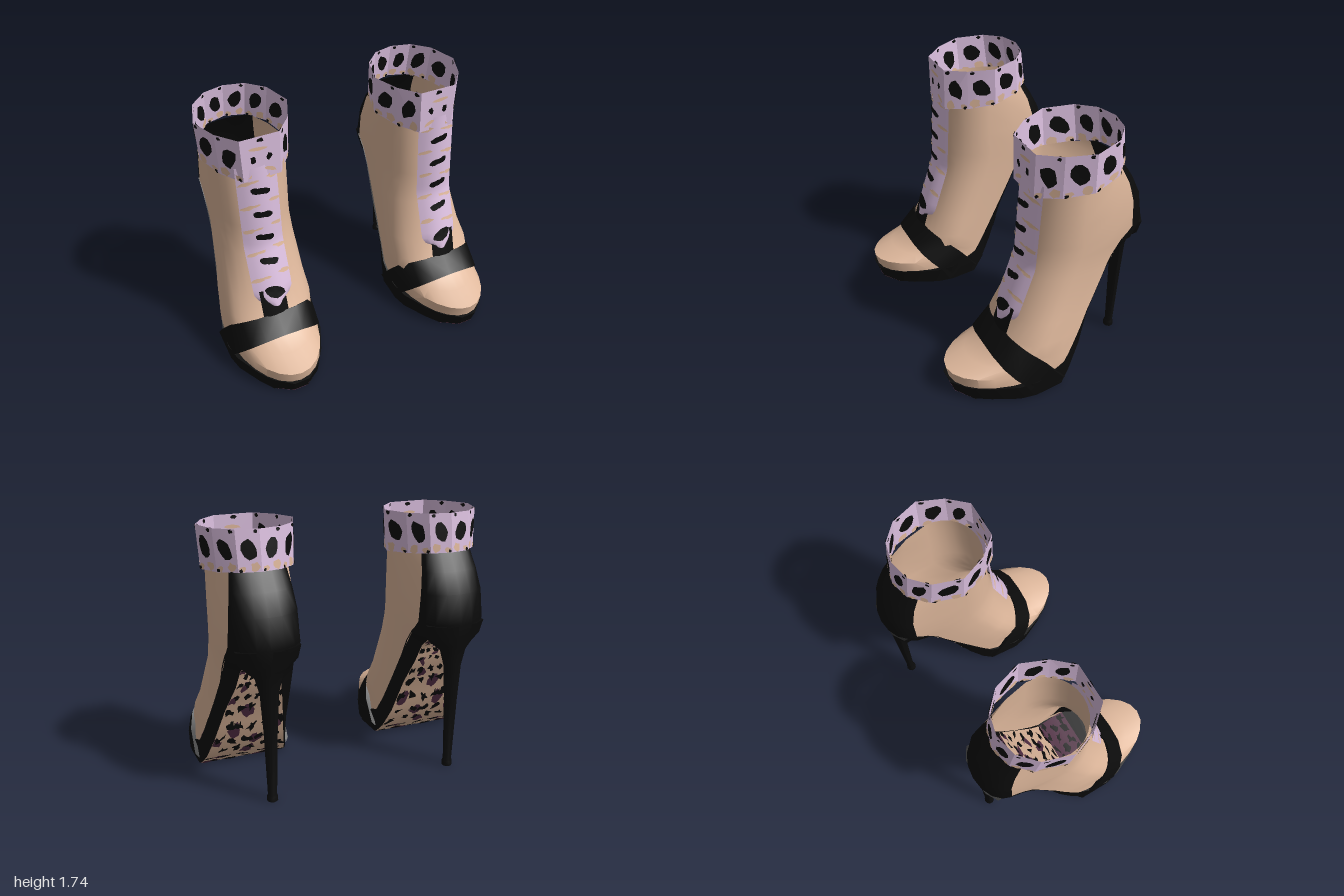
import * as THREE from 'three';
import { toCreasedNormals } from 'three/addons/utils/BufferGeometryUtils.js';

const mat = (name, color) => new THREE.MeshStandardMaterial({ name, color, side: THREE.DoubleSide });

export function createModel() {
  const tan = mat('tan', 0xdfb89c), black = mat('black', 0x0b0b0b);
  const lilac = mat('lilac', 0xdcc0e0), plum = mat('plum', 0x4f2c42);
  const model = new THREE.Group();

  let seed = 7;
  const rnd = () => (seed = (seed * 16807) % 2147483647) / 2147483647;

  function shoe(s) {
    seed = 7;
    const group = new THREE.Group();
    group.name = s > 0 ? 'leftShoe' : 'rightShoe';

    function add(name, material, pos, idx, crease) {
      let g = new THREE.BufferGeometry();
      g.setAttribute('position', new THREE.Float32BufferAttribute(pos.flatMap(([x, y, z]) => [s * x, y, z]), 3));
      g.setIndex(idx);
      g = toCreasedNormals(g, crease);
      const m = new THREE.Mesh(g, material);
      m.name = name;
      group.add(m);
    }
    // Skin a list of point rows; closed joins each row's ends, cap fills the end rows
    function loft(name, material, rows, { closed = false, cap = false, crease = 0.7 } = {}) {
      const mid = r => r.map(() => [0, 1, 2].map(k => r.reduce((a, p) => a + p[k], 0) / r.length));
      if (cap) rows = [mid(rows[0]), ...rows, mid(rows[rows.length - 1])];
      const n = rows[0].length, idx = [];
      for (let i = 0; i < rows.length - 1; i++)
        for (let j = 0; j < (closed ? n : n - 1); j++) {
          const a = i * n + j, b = i * n + (j + 1) % n;
          idx.push(a, b, a + n, b, b + n, a + n);
        }
      add(name, material, rows.flat(), idx, crease);
    }
    // Flat irregular spots laid on a surface function surf(u, v)
    function spots(name, material, surf, list) {
      const pos = [], idx = [], n = 10;
      for (const [u, v, ru, rv, shear = 0, wob = 0.25] of list) {
        const c = pos.length;
        pos.push(surf(u, v));
        for (let i = 0; i < n; i++) {
          const a = i / n * Math.PI * 2, r = 1 - wob / 2 + wob * (rnd() - 0.5) * 2;
          const dv = Math.sin(a) * r;
          pos.push(surf(u + ru * (Math.cos(a) * r + shear * dv), v + rv * dv));
          idx.push(c, c + 1 + i, c + 1 + (i + 1) % n);
        }
      }
      add(name, material, pos, idx, 0.5);
    }
    // Ribbon surface through rows of [cx, halfWidth, z, y], bowed back at its edges
    const ribbon = (rows, dy, dz, bow = 0) => (u, v) => {
      const t = Math.min(Math.max(v, 0), 1) * (rows.length - 1), i = Math.min(Math.floor(t), rows.length - 2);
      const [cx, hw, z, y] = rows[i].map((a, k) => a + (rows[i + 1][k] - a) * (t - i));
      const w = Math.min(Math.max(u, -1), 1);
      return [cx + w * hw, y + dy, z + dz - bow * w * w];
    };
    const sheet = (name, material, surf, nu, nv) => loft(name, material,
      Array.from({ length: nv + 1 }, (_, i) => Array.from({ length: nu + 1 }, (_, j) => surf(j / nu * 2 - 1, i / nv))));

    // Upper: horizontal slices [y, zFront, zMid, zBack, cx, halfWidth, halfWidthBack]
    const slices = [
      [1.5, .10, -.15, -.44, .63, .255, .17], [1.38, .105, -.15, -.5, .63, .255, .19],
      [1.2, .115, -.15, -.545, .63, .255, .21], [1.04, .13, -.16, -.54, .63, .255, .22],
      [.96, .135, -.15, -.45, .63, .255, .225], [.82, .16, -.1, -.365, .63, .257, .23],
      [.53, .26, .03, -.215, .645, .285, .255], [.4, .32, .12, -.14, .655, .303, .275],
      [.31, .385, .12, -.09, .66, .31, .285], [.25, .55, .06, -.05, .663, .305, .295],
      [.205, .7, .08, -.02, .665, .31, .3], [.11, .68, .1, .04, .665, .31, .305]];
    loft('upper', tan, slices.map(([y, zf, zm, zc, cx, hw, hb]) => {
      const row = [[cx - hb, y, zc], [cx - hw * .65 - hb * .35, y, zm * .45 + zc * .55]];
      for (let i = 0; i <= 14; i++) {
        const a = (i / 14 - .5) * Math.PI;
        row.push([cx + hw * Math.sin(a), y, zm + (zf - zm) * Math.cos(a)]);
      }
      row.push([cx + hw * .65 + hb * .35, y, zm * .45 + zc * .55], [cx + hb, y, zc]);
      return row;
    }), { crease: .9 });

    // Heel counter: half-round slices [y, zEdge, zBack, halfWidth]
    loft('heelCounter', black, [
      [1.5, -.435, -.495, .175], [1.38, -.495, -.58, .195], [1.25, -.53, -.65, .213],
      [1.06, -.535, -.69, .226], [.96, -.45, -.677, .23]].map(([y, ze, zb, hw]) =>
      Array.from({ length: 9 }, (_, i) => {
        const a = (i / 8 - .5) * Math.PI;
        return [.63 + hw * Math.sin(a), y, ze + (zb - ze) * Math.cos(a)];
      })));

    // Stiletto heel: closed slices [y, zFront, zBack, halfWidth]
    loft('stilettoHeel', black, [
      [1.05, -.5, -.688, .215], [.96, -.47, -.677, .2], [.9, -.48, -.667, .14], [.86, -.545, -.66, .09],
      [.75, -.56, -.655, .06], [.5, -.575, -.648, .045], [.05, -.587, -.637, .03],
      [.035, -.577, -.642, .036], [.005, -.575, -.645, .036]].map(([y, zf, zb, hw]) =>
      Array.from({ length: 10 }, (_, i) => {
        const a = i / 10 * Math.PI * 2;
        return [.63 + hw * Math.sin(a), y, (zf + zb) / 2 + (zf - zb) / 2 * Math.cos(a)];
      })), { closed: true, cap: true });

    // Shank and platform: [cx, topHalfWidth, topZ, topY, bottomHalfWidth, bottomZ, bottomY]
    const sole = [
      [.63, .225, -.55, 1.05, .1, -.5, .9], [.63, .23, -.46, .98, .11, -.455, .89],
      [.63, .235, -.39, .88, .13, -.41, .84], [.63, .24, -.33, .75, .155, -.365, .71],
      [.64, .26, -.23, .56, .2, -.27, .52], [.655, .285, -.1, .33, .25, -.16, .25],
      [.66, .305, -.02, .2, .285, -.07, .09], [.665, .325, .07, .165, .31, 0, .012],
      [.665, .335, .2, .14, .325, .2, .012], [.665, .315, .32, .13, .305, .31, .012],
      [.665, .235, .5, .125, .225, .48, .014], [.665, .17, .6, .122, .165, .58, .016],
      [.665, .055, .697, .12, .05, .665, .025]];
    loft('platformSole', black, sole.map(([c, a, z, y, b, zb, yb]) =>
      [[c - a, y, z], [c + a, y, z], [c + b, yb, zb], [c - b, yb, zb]]), { closed: true, cap: true, crease: .5 });

    // Leopard print: base sheet with plum patches and black spots
    function leopard(name, base, rows, sy, sz, nu, nv) {
      const surf = k => ribbon(rows, sy * k, sz * k);
      sheet(name, base, surf(.004), 2, (rows.length - 1) * 2);
      const dark = [], patches = [];
      for (let i = 0; i < nv; i++) for (let j = 0; j < nu; j++) {
        const u = (j + .5 + (i % 2 ? .2 : -.2) + (rnd() - .5) * .3) / nu * 2 - 1;
        const v = (i + .5 + (rnd() - .5) * .3) / nv;
        const ru = .78 / nu, rv = .36 / nv, sh = (rnd() - .5) * 1.4;
        dark.push([u, v, ru, rv, sh, .5]);
        if (base === tan && (i + 2 * j) % 3 === 0) patches.push([u + ru * .6, v + rv * .7, ru * 1.3, rv * 1.4, -sh, .4]);
      }
      if (patches.length) spots(name + 'Patches', plum, surf(.007), patches);
      spots(name + 'Spots', black, surf(.01), dark);
    }
    const under = sole.map(r => [r[0], r[4] * .97, r[5], r[6]]);
    leopard('archUnderside', tan, under.slice(1, 8), -.6, -.8, 5, 11);
    leopard('platformUnderside', plum, under.slice(7), -1, 0, 6, 7);
    const inner = sole.map(r => [r[0], r[1] * .92, r[2] + .006, r[3] + .008]);
    leopard('insoleHeel', plum, inner.slice(0, 3), .6, .8, 5, 3);
    leopard('insoleArch', tan, inner.slice(2, 7), .6, .8, 5, 7);
    leopard('insoleBall', plum, inner.slice(6, 9), 1, 0, 6, 3);

    // Toe strap: half arc of front and rear edge points, mirrored across the foot
    const front = [[0, .305, .43], [.13, .295, .425], [.235, .255, .395], [.295, .2, .345], [.325, .13, .28], [.33, .03, .22]];
    const rear = [[0, .42, .318], [.14, .415, .31], [.24, .385, .265], [.305, .32, .185], [.335, .23, .11], [.335, .09, .0]];
    const strap = [];
    for (let i = -5; i <= 5; i++) {
      const k = Math.abs(i), g = Math.sign(i);
      const at = ([x, y, z], f, d) => [.665 + g * x * f, y - d, z - d];
      strap.push([at(front[k], .93, .025), at(front[k], 1, 0), at(rear[k], 1, 0), at(rear[k], .93, .025)]);
    }
    loft('toeStrap', black, strap);

    // Tongue and laced front panel
    sheet('tongue', black, ribbon([[.67, .09, .27, .6], [.67, .09, .305, .48], [.67, .09, .335, .38]], 0, 0, .015), 4, 2);
    const panelRows = [];
    const panelZ = y => y > .9 ? .14 + (1.5 - y) * .06 : .176 + (.9 - y) * .34;
    for (let i = 0; i <= 25; i++) {
      const y = 1.5 - i * .0408, tip = Math.max(0, (.58 - y) / .1);
      panelRows.push([.655, .137 * Math.sqrt(Math.max(.12, 1 - tip * tip)), panelZ(y), y]);
    }
    const panel = k => ribbon(panelRows, 0, k, .05);
    sheet('lacePanel', lilac, panel(0), 8, 25);
    const pv = y => (1.5 - y) / 1.02;
    const streaks = [], laces = [[0, pv(.585), .5, .045, -.35, .1]];
    for (let i = 0; i < 5; i++) {
      const y = 1.41 - i * .178;
      streaks.push([-.68, pv(y), .26, .022, -.9], [.68, pv(y - .02), .28, .022, .9], [.25, pv(y - .005), .22, .012, .5]);
      if (i < 4) laces.push([-.22, pv(1.325 - i * .176), .26, .026, -.3, .1], [.02, pv(1.332 - i * .176), .3, .024, -.2, .1], [.24, pv(1.338 - i * .176), .24, .025, -.2, .1]);
    }
    spots('panelStreaks', tan, panel(.005), streaks);
    spots('laces', black, panel(.009), laces);

    // Cuff: eleven-sided folded collar, u counts its faces, v runs bottom to top
    const half = [[.13, .133], [.24, 0], [.31, -.18], [.25, -.38], [.14, -.49], [0, -.525]];
    const ring = [...half, ...half.slice(0, 5).reverse().map(([x, z]) => [-x, z])];
    const cuff = k => (u, v) => {
      v = Math.min(Math.max(v, 0), 1);
      const i = Math.floor(u) % 11, f = u - Math.floor(u), a = ring[i], b = ring[(i + 1) % 11];
      const x = a[0] + (b[0] - a[0]) * f, z = a[1] + (b[1] - a[1]) * f;
      const back = (.133 - z) / .66, w = .95 + .05 * v;
      const y = (1.412 + .085 * back) * (1 - v) + (1.71 + .035 * back) * v;
      return [.627 + x * w * k, y, -.19 + (z + .19) * (1 + (1 - v) * .02 * back) * k - .0 + back * v * .03];
    };
    loft('cuff', lilac, [0, 1].map(v => ring.map((_, j) => cuff(1)(j, v))), { closed: true, crease: .3 });
    const big = [], trim = [], small = [];
    for (let i = 0; i < 10; i++) {
      big.push([i + .5, .53, .31, .27, i < 5 ? -.3 : .3, .15]);
      trim.push([i + .74, .12, .2, .13], [i + .2, .08, .16, .08]);
      small.push([i + .82, .95, .1, .05], [i + .12, .05, .08, .05]);
    }
    small.push([10.3, .5, .07, .1], [10.7, .5, .07, .1], [10.5, .93, .1, .05]);
    trim.push([10.55, .72, .22, .05, .4], [10.3, .2, .14, .09, .8], [10.68, .12, .16, .1, -.8]);
    for (const [side, k] of [['Outer', 1], ['Inner', -1]]) {
      spots('cuffTrim' + side, tan, cuff(1 + .015 * k), trim);
      spots('cuffSpots' + side, black, cuff(1 + .024 * k), [...big, ...small]);
    }
    return group;
  }

  model.add(shoe(1), shoe(-1));
  return model;
}
